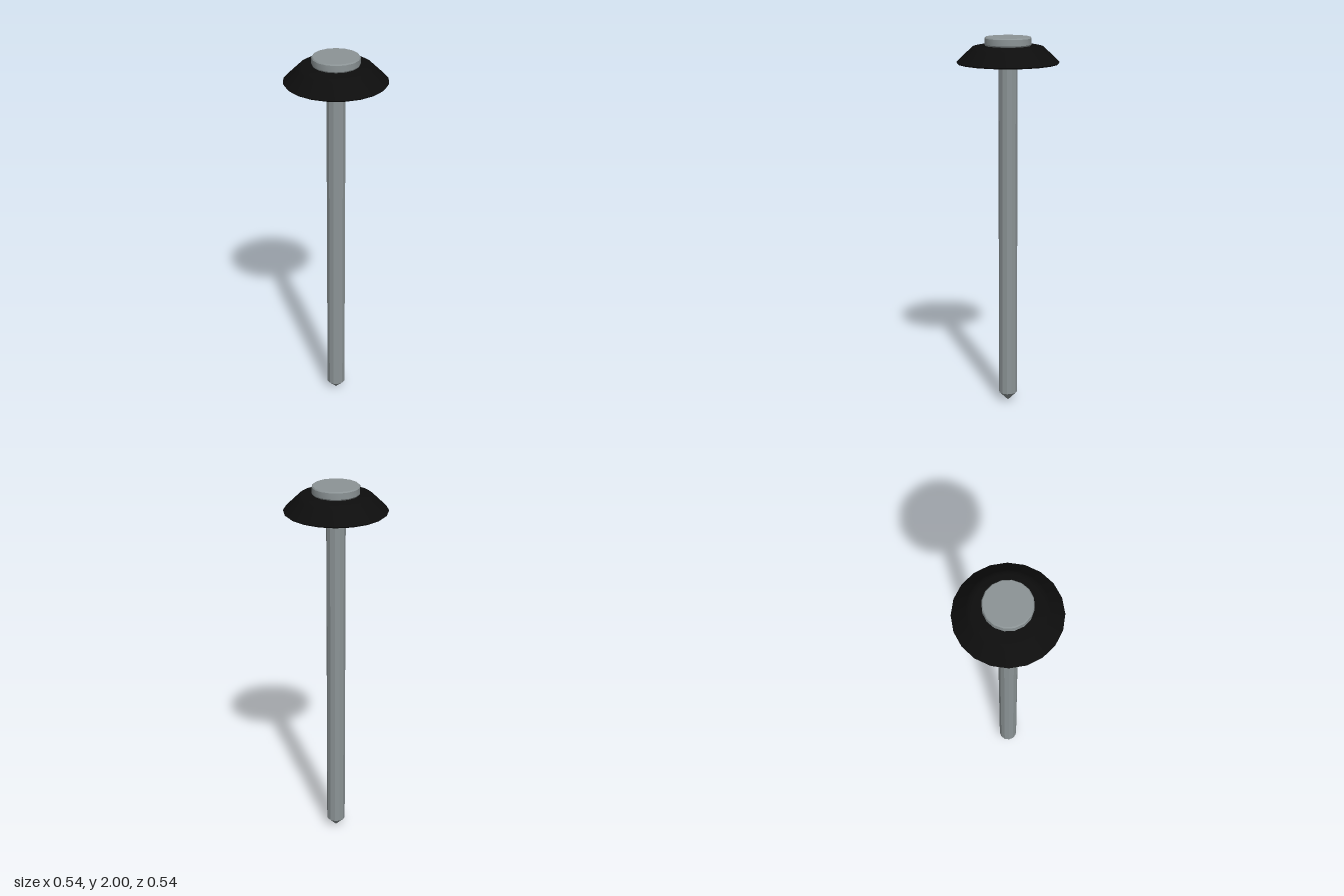
import * as THREE from 'three';
import { toCreasedNormals } from 'three/addons/utils/BufferGeometryUtils.js';

export function createModel() {
  const steel = new THREE.MeshStandardMaterial({ color: 0x8c9496 });
  const rubber = new THREE.MeshStandardMaterial({ color: 0x0d0d0d });
  const group = new THREE.Group();

  // Turned part: profile runs from the lower axis point outward and up
  const turned = (name, profile, sides, material, crease) => {
    const points = profile.map(([r, y]) => new THREE.Vector2(r, y));
    const geometry = toCreasedNormals(new THREE.LatheGeometry(points, sides), crease);
    const mesh = new THREE.Mesh(geometry, material);
    mesh.name = name;
    group.add(mesh);
  };

  // Faceted shank with a short pointed tip
  turned('shank', [[0, 0], [0.05, 0.05], [0.05, 1.9]], 12, steel, 0.3);

  // Sealing washer: sloped skirt with a softened shoulder
  turned('washer', [
    [0, 1.863], [0.262, 1.863], [0.268, 1.87], [0.198, 1.938],
    [0.185, 1.95], [0.165, 1.955], [0, 1.955],
  ], 20, rubber, 0.7);

  // Flat round head with a slightly eased rim
  turned('head', [
    [0, 1.95], [0.118, 1.955], [0.123, 1.962], [0.123, 1.994], [0.118, 2], [0, 2],
  ], 16, steel, 0.5);

  return group;
}
